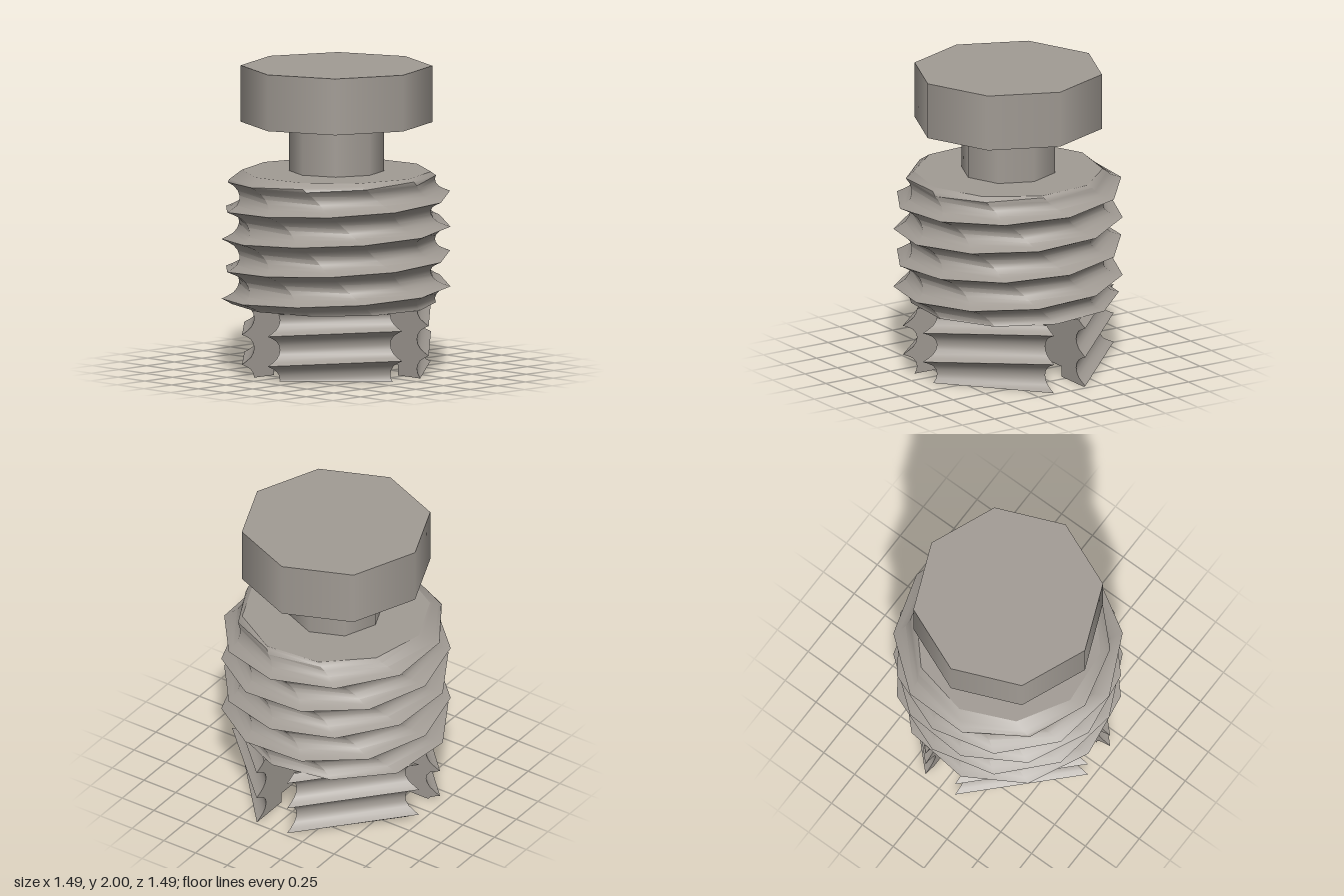
import * as THREE from 'three';
import { toCreasedNormals, mergeGeometries } from 'three/addons/utils/BufferGeometryUtils.js';

const RAD = Math.PI / 180;
const TOP = 1.31, SLOT_TOP = 0.44, SLOT = 0.12, STEP = 0.07;
const PITCH = 0.196, SIDES = 10;
const TWIST = 180 / SIDES / PITCH; // staggers the corners by half a side from turn to turn
// groove profile from crest to crest: [fraction of pitch, radius]
const GROOVE = [[0, 0.748], [0.09, 0.708], [0.2, 0.67], [0.35, 0.647], [0.5, 0.64],
  [0.65, 0.647], [0.8, 0.67], [0.91, 0.708], [1, 0.748]];

const material = new THREE.MeshStandardMaterial({ color: 0xa19b94, side: THREE.DoubleSide });

// height of the helical crest at angle a (degrees from +x towards +z)
const crest = (a) => 0.2 - PITCH * a / 360;

// radius of the threaded body
function radius(a, y) {
  const u = (y - crest(a)) / PITCH, t = u - Math.floor(u);
  const i = Math.max(1, GROOVE.findIndex((g) => g[0] >= t));
  const [t0, r0] = GROOVE[i - 1], [t1, r1] = GROOVE[i];
  const r = r0 + (r1 - r0) * (t - t0) / (t1 - t0);
  return Math.min(r, 0.615 + (TOP - y) * 1.5);
}

// point on the thread at angle a and height y
function at(a, y) {
  const r = radius(a, y);
  return new THREE.Vector3(r * Math.cos(a * RAD), y, r * Math.sin(a * RAD));
}

// one run of points up the thread, cut off at y0 and y1; its angle drifts by twist per unit of height
function column(a, y0, y1, twist, point) {
  const pts = [];
  for (let k = -2; k < 9; k++) {
    for (const [t] of GROOVE.slice(0, -1)) {
      const y = (crest(a) + PITCH * (k + t)) / (1 + PITCH * twist / 360);
      const cut = THREE.MathUtils.clamp(y, y0, y1);
      pts.push(point(a + twist * cut, cut));
    }
  }
  return pts;
}

function fromTriangles(tris) {
  const pts = [];
  for (const [a, b, c] of tris) {
    if (new THREE.Triangle(a, b, c).getArea() > 1e-7) pts.push(a, b, c);
  }
  const g = new THREE.BufferGeometry().setFromPoints(pts);
  g.computeVertexNormals();
  return g;
}

// skin between neighbouring columns
function skin(cols) {
  const tris = [];
  for (let j = 0; j < cols.length - 1; j++) {
    const p = cols[j], q = cols[j + 1];
    for (let i = 0; i < p.length - 1; i++) {
      tris.push([p[i], p[i + 1], q[i + 1]], [p[i], q[i + 1], q[i]]);
    }
  }
  return toCreasedNormals(fromTriangles(tris), 0.7);
}

// flat polygon, triangulated in the plane of axes u and v and turned to face the given direction
function face(points, u, v, normal) {
  const pts = points.filter((p, i) => i === 0 || p.distanceTo(points[i - 1]) > 1e-5);
  const flat = pts.map((p) => new THREE.Vector2(p[u], p[v]));
  if (THREE.ShapeUtils.isClockWise(flat)) { flat.reverse(); pts.reverse(); }
  const tris = THREE.ShapeUtils.triangulateShape(flat, []).map((f) => f.map((i) => pts[i]));
  return fromTriangles(tris.map(([a, b, c]) => {
    const n = new THREE.Triangle(a, b, c).getNormal(new THREE.Vector3());
    return n.dot(normal) < 0 ? [a, c, b] : [a, b, c];
  }));
}

const UP = new THREE.Vector3(0, 1, 0), DOWN = new THREE.Vector3(0, -1, 0);

// solid threaded part above the slots
function upperBody() {
  const cols = Array.from({ length: SIDES + 1 }, (_, i) =>
    column(i * 360 / SIDES, SLOT_TOP, TOP, TWIST, at));
  const rims = cols.slice(0, SIDES);
  return mergeGeometries([
    skin(cols),
    face(rims.map((c) => c.at(-1)), 'x', 'z', UP),
    face(rims.map((c) => c[0]), 'x', 'z', DOWN),
  ]);
}

// one quarter of the slotted lower end, its thread running straight from slot to slot;
// built in the +x +z quarter, then turned
function leg(q) {
  const V = (x, y, z) => new THREE.Vector3(x, y, z);
  const along = (a, y) => Math.sqrt(radius(a, y) ** 2 - SLOT * SLOT);
  const first = column(10 + q * 90, 0, SLOT_TOP, 0, (a, y) => V(along(a, y), y, SLOT));
  const last = column(80 + q * 90, 0, SLOT_TOP, 0, (a, y) => V(SLOT, y, along(a, y)));

  // octagonal bore with a wider recess at its mouth
  const bore = (r, y) => {
    const e = r - SLOT * Math.tan(22.5 * RAD), m = r * Math.SQRT1_2;
    return [V(e, y, SLOT), V(m, y, m), V(SLOT, y, e)];
  };
  const inTop = bore(0.31, SLOT_TOP), inStep = bore(0.31, STEP);
  const outStep = bore(0.5, STEP), outLow = bore(0.5, 0);
  const inner = [inTop, inStep, outStep, outLow];

  const parts = [
    skin([first, last]),
    skin([2, 1, 0].map((i) => [inStep[i], inTop[i]])),
    skin([2, 1, 0].map((i) => [outLow[i], outStep[i]])),
    face([...inStep, ...[...outStep].reverse()], 'x', 'z', DOWN),
    face([first[0], last[0], ...[...outLow].reverse()], 'x', 'z', DOWN),
    // slot walls
    face([...first, ...inner.map((r) => r[0])], 'x', 'y', V(0, 0, -1)),
    face([...last, ...inner.map((r) => r[2])], 'z', 'y', V(-1, 0, 0)),
  ];
  return mergeGeometries(parts).rotateY(-q * Math.PI / 2);
}

export function createModel() {
  const model = new THREE.Group();
  const add = (name, geometry) => {
    const mesh = new THREE.Mesh(geometry, material);
    mesh.name = name;
    model.add(mesh);
  };

  // eight-sided head and neck
  add('head', new THREE.CylinderGeometry(0.623, 0.623, 0.37, 8).translate(0, 1.815, 0));
  add('neck', new THREE.CylinderGeometry(0.31, 0.31, 0.34, 8).translate(0, 1.47, 0));

  add('threadedBody', upperBody());
  for (let q = 0; q < 4; q++) add('threadedLeg' + (q + 1), leg(q));
  return model;
}
